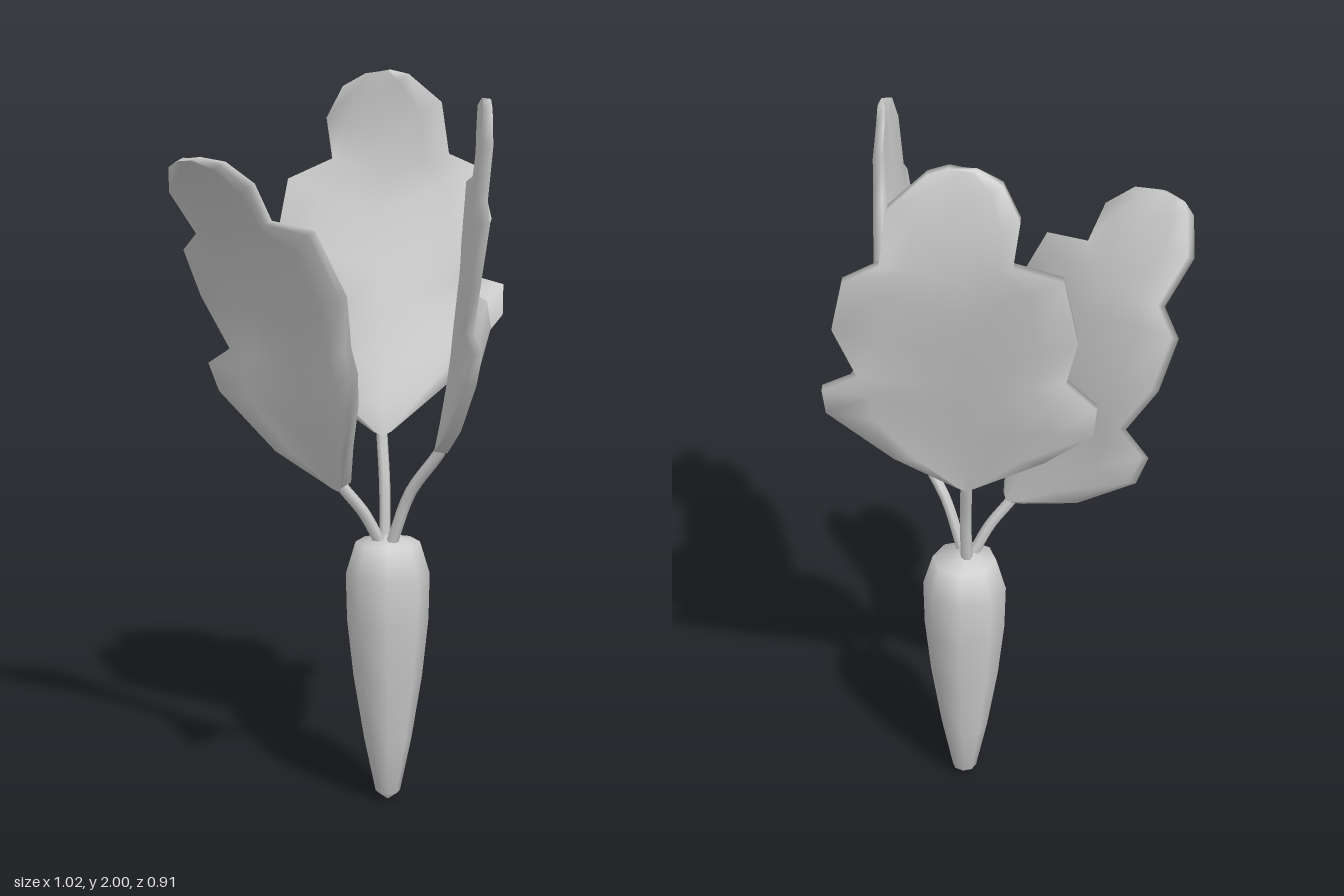
import * as THREE from 'three';

const V = (x, y, z) => new THREE.Vector3(x, y, z);

// Blade rows from base to tip:
// right edge (x, y, curl), left edge (x, y, curl), midrib (y, curl), thickness
const ROWS = [
  [0.024, 0.0, 0, -0.024, 0.0, 0, -0.01, 0, 0.036],
  [0.2, 0.135, 0.05, -0.18, 0.125, 0.034, 0.07, 0.002, 0.03],
  [0.32, 0.254, 0.07, -0.337, 0.309, 0.062, 0.17, 0.004, 0.026],
  [0.326, 0.325, 0.05, -0.342, 0.391, 0.068, 0.26, 0.004, 0.024],
  [0.249, 0.369, 0.0, -0.257, 0.414, 0.038, 0.33, 0.002, 0.024],
  [0.276, 0.494, -0.015, -0.31, 0.567, 0.04, 0.44, 0, 0.024],
  [0.24, 0.673, -0.022, -0.28, 0.705, 0.042, 0.58, 0, 0.024],
  [0.12, 0.728, 0.005, -0.194, 0.741, 0.027, 0.68, 0, 0.024],
  [0.136, 0.834, -0.01, -0.172, 0.875, 0.022, 0.79, 0, 0.024],
  [0.095, 0.912, -0.015, -0.08, 0.945, 0.007, 0.89, 0, 0.022],
  [0.035, 0.945, -0.005, -0.03, 0.955, 0, 0.95, 0, 0.02],
];
const LENGTH = 0.952;
const STEPS = [-1, -0.66, -0.33, 0, 0.33, 0.66, 1];

// Closed cross-sections (outer face, then inner face) joined into a plate;
// bend bows the blade outward between base and tip
function bladeGeometry(bend) {
  const pos = [], idx = [], n = STEPS.length * 2;
  for (const [rx, ry, rw, lx, ly, lw, midY, midW, thick] of ROWS) {
    const point = (t, side) => {
      const a = Math.abs(t);
      const [ex, ey, ew] = t > 0 ? [rx, ry, rw] : [lx, ly, lw];
      const y = midY + (ey - midY) * a;
      const s = y / LENGTH;
      const w = midW + (ew - midW) * Math.pow(a, 1.4) + bend * 6.75 * s * s * (1 - s);
      pos.push(ex * a, y, w + side * thick / 2);
    };
    STEPS.forEach((t) => point(t, 1));
    STEPS.forEach((t) => point(-t, -1));
  }
  const last = (ROWS.length - 1) * n;
  for (let r = 0; r < ROWS.length - 1; r++) {
    for (let j = 0; j < n; j++) {
      const a = r * n + j, b = r * n + (j + 1) % n;
      idx.push(a, b, b + n, a, b + n, a + n);
    }
  }
  // End caps
  for (let j = 1; j < n - 1; j++) {
    idx.push(0, j + 1, j);
    idx.push(last, last + j, last + j + 1);
  }
  const geo = new THREE.BufferGeometry();
  geo.setAttribute('position', new THREE.Float32BufferAttribute(pos, 3));
  geo.setIndex(idx);
  geo.computeVertexNormals();
  return geo;
}

// Each leaf: stem path (last point is the blade base), direction to the
// blade tip, direction across the blade, and outward bow
const LEAVES = [
  { name: 'frontLeaf', stem: [V(-0.02, 0.73, 0.0), V(-0.042, 0.83, 0.05), V(-0.072, 0.91, 0.105)],
    tip: V(-0.22, 0.88, 0.338), across: V(0.66, 0.07, 0.125), bend: -0.08 },
  { name: 'leftLeaf', stem: [V(0.005, 0.73, -0.005), V(0.065, 0.89, -0.02), V(0.16, 1.02, -0.04)],
    tip: V(0.19, 0.93, 0.04), across: V(-0.425, 0.05, -0.52), bend: 0 },
  { name: 'backLeaf', stem: [V(-0.035, 0.73, -0.025), V(-0.055, 0.89, -0.045), V(-0.09, 1.03, -0.07)],
    tip: V(-0.11, 0.97, -0.1), across: V(-0.44, -0.05, 0.52), bend: 0.065 },
];

export function createModel() {
  const model = new THREE.Group();
  const material = new THREE.MeshStandardMaterial({ color: 0xcccccc });

  // Eight-sided tapering root
  const profile = [[0, 0], [0.034, 0.025], [0.066, 0.18], [0.095, 0.36], [0.112, 0.52],
    [0.115, 0.65], [0.088, 0.74], [0, 0.76]].map(([x, y]) => new THREE.Vector2(x, y));
  const root = new THREE.Mesh(new THREE.LatheGeometry(profile, 8), material);
  root.name = 'root';
  root.position.set(-0.022, 0, -0.023);
  model.add(root);

  for (const { name, stem, tip, across, bend } of LEAVES) {
    const leaf = new THREE.Group();
    leaf.name = name;
    const base = stem[stem.length - 1];

    // Blade, turned so its midrib follows the tip direction
    const up = tip.clone().normalize();
    const side = across.clone().addScaledVector(up, -across.dot(up)).normalize();
    const out = side.clone().cross(up);
    const blade = new THREE.Mesh(bladeGeometry(bend), material);
    blade.name = 'blade';
    blade.quaternion.setFromRotationMatrix(new THREE.Matrix4().makeBasis(side, up, out));
    blade.position.copy(base);
    blade.scale.setScalar(tip.length() / LENGTH);
    leaf.add(blade);

    // Stem, ending just inside the blade
    const path = new THREE.CatmullRomCurve3([...stem, base.clone().addScaledVector(up, 0.025)]);
    const stalk = new THREE.Mesh(new THREE.TubeGeometry(path, 10, 0.016, 6), material);
    stalk.name = 'stem';
    leaf.add(stalk);
    model.add(leaf);
  }
  return model;
}
